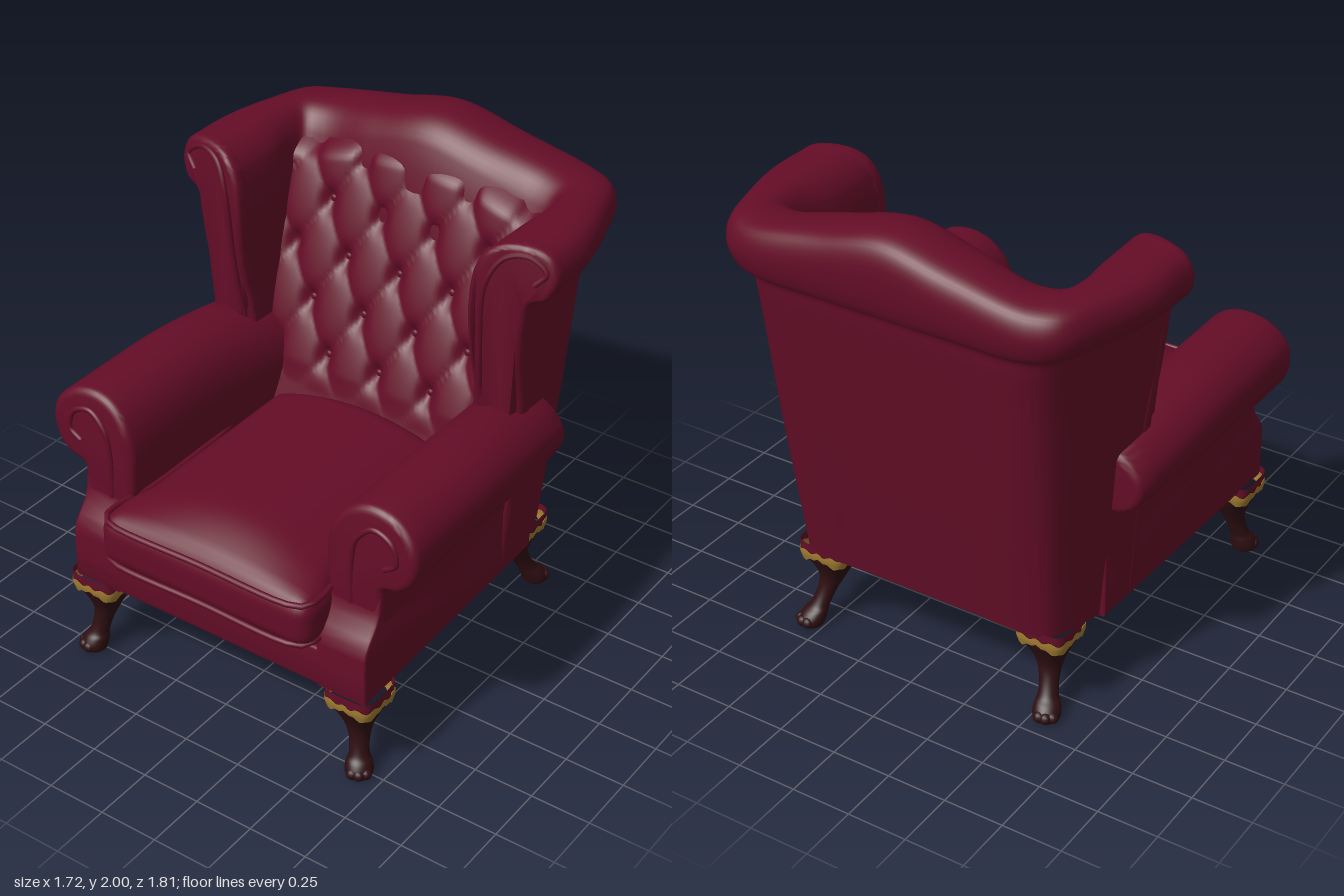
import * as THREE from 'three';
import { mergeVertices, toCreasedNormals } from 'three/addons/utils/BufferGeometryUtils.js';

const V = (x, y, z) => new THREE.Vector3(x, y, z);
const lerp = THREE.MathUtils.lerp, clamp = THREE.MathUtils.clamp;

// Smooth surface from a function of u and v (normal points along du x dv)
function grid(fn, nu, nv) {
  const pos = [], index = [];
  for (let i = 0; i <= nu; i++)
    for (let j = 0; j <= nv; j++) pos.push(...fn(i / nu, j / nv).toArray());
  for (let i = 0; i < nu; i++)
    for (let j = 0; j < nv; j++) {
      const a = i * (nv + 1) + j, b = a + nv + 1;
      index.push(a, b, a + 1, b, b + 1, a + 1);
    }
  const g = new THREE.BufferGeometry();
  g.setAttribute('position', new THREE.Float32BufferAttribute(pos, 3));
  g.setIndex(index);
  g.computeVertexNormals();
  return g;
}

// Move every vertex by a rule
function warp(g, rule) {
  const p = g.attributes.position, v = V(0, 0, 0);
  for (let i = 0; i < p.count; i++) {
    rule(v.fromBufferAttribute(p, i));
    p.setXYZ(i, v.x, v.y, v.z);
  }
  return g;
}

// Mirror across x = 0, restoring the corner order
function mirror(geo) {
  const g = geo.index ? geo.toNonIndexed() : geo.clone();
  g.scale(-1, 1, 1);
  for (const a of Object.values(g.attributes))
    for (let i = 0; i < a.count; i += 3)
      for (let c = 0; c < a.itemSize; c++) {
        const t = a.getComponent(i + 1, c);
        a.setComponent(i + 1, c, a.getComponent(i + 2, c));
        a.setComponent(i + 2, c, t);
      }
  return g;
}

// Densely divided box with rounded edges
function softBox(w, h, d, r) {
  const g = new THREE.BoxGeometry(w, h, d, 40, 14, 40);
  g.deleteAttribute('uv');
  g.deleteAttribute('normal');
  warp(g, v => {
    const c = V(clamp(v.x, r - w / 2, w / 2 - r), clamp(v.y, r - h / 2, h / 2 - r), clamp(v.z, r - d / 2, d / 2 - r));
    const o = v.clone().sub(c);
    if (o.length() > 0) v.copy(c).add(o.setLength(r));
  });
  return mergeVertices(g);
}

const tube = (pts, r, closed = false) =>
  new THREE.TubeGeometry(new THREE.CatmullRomCurve3(pts, closed), 70, r, 8, closed);
const shapeOf = pts => new THREE.Shape(pts.map(p => new THREE.Vector2(p[0], p[1])));

// Stations around the shell: foot, under the roll, roll edge, inner top, inner foot (x, z each), top height
const half = [
  [[0.67, -0.17], [0.75, -0.13], [0.86, -0.17], [0.55, -0.13], [0.50, -0.14], 1.885],
  [[0.65, -0.36], [0.73, -0.40], [0.855, -0.40], [0.56, -0.36], [0.50, -0.25], 1.885],
  [[0.60, -0.55], [0.68, -0.63], [0.80, -0.62], [0.58, -0.50], [0.50, -0.26], 1.885],
  [[0.56, -0.63], [0.62, -0.78], [0.72, -0.82], [0.57, -0.57], [0.49, -0.27], 1.885],
  [[0.48, -0.66], [0.53, -0.83], [0.60, -0.885], [0.47, -0.59], [0.42, -0.27], 1.89],
  [[0.26, -0.66], [0.28, -0.83], [0.28, -0.90], [0.26, -0.57], [0.24, -0.27], 1.945],
  [[0, -0.66], [0, -0.83], [0, -0.90], [0, -0.56], [0, -0.27], 2.0],
];
function profile([b, t, r, i, j, top]) {
  const at = (p, q, k, y) => V(lerp(p[0], q[0], k), y, lerp(p[1], q[1], k));
  return [
    at(b, t, 0, 0.37), at(b, t, 0.55, 1.0), at(t, r, 0, 1.58), at(t, r, 0.15, 1.66), at(t, r, 0.7, 1.69),
    at(t, r, 1, top - 0.11), at(r, i, 0.1, top - 0.03), at(r, i, 0.38, top), at(r, i, 0.75, top - 0.015),
    at(i, j, 0, top - 0.1), at(i, j, 0.5, 1.25), at(i, j, 1, 0.6),
  ];
}
// Front plane of the wings
const wingZ = (x, y) => -0.09 - 0.075 * ((Math.max(y, 1.2) - 1.62) / 0.42) ** 2 - Math.max(0, x - 0.6) * 0.25;

export function createModel() {
  const model = new THREE.Group();
  const fabric = new THREE.MeshStandardMaterial({ color: 0x640d27, side: THREE.DoubleSide });
  const gold = new THREE.MeshStandardMaterial({ color: 0xa27c32, side: THREE.DoubleSide });
  const wood = new THREE.MeshStandardMaterial({ color: 0x2e0e11 });
  fabric.name = 'burgundyLeather';
  gold.name = 'gold';
  wood.name = 'darkWood';
  const add = (name, g, m = fabric, parent = model) => {
    const mesh = new THREE.Mesh(g, m);
    mesh.name = name;
    parent.add(mesh);
    return mesh;
  };
  const addPair = (name, g) => {
    add(name + 'Left', g);
    add(name + 'Right', mirror(g));
  };

  // Back and wings: one shell swept round from wing to wing
  const rows = half.map(profile);
  rows[0].forEach(v => { v.z = wingZ(v.x, v.y) - 0.02; });
  const all = [...rows, ...rows.slice(0, -1).reverse().map(r => r.map(v => V(-v.x, v.y, v.z)))];
  const strands = rows[0].map((_, k) => new THREE.CatmullRomCurve3(all.map(r => r[k])));
  const NV = 55, NU = 72;
  add('backAndWingShell', grid((u, v) =>
    new THREE.CatmullRomCurve3(strands.map(s => s.getPoint(u))).getPoint(v), NU, NV));

  // Padded wing fronts with piping
  const outline = new THREE.CatmullRomCurve3(rows[0]).getPoints(70).map(p => [p.x, p.y]);
  const wing = new THREE.ExtrudeGeometry(shapeOf(outline), {
    depth: 0.03, bevelThickness: 0.02, bevelSize: 0.02, bevelOffset: -0.02, bevelSegments: 4 });
  warp(wing, v => { v.z += wingZ(v.x, v.y) - 0.04; });
  addPair('wingFront', toCreasedNormals(wing, 0.7));
  const wingPipe = [[0.56, 1.1], [0.575, 1.4], [0.60, 1.72], [0.66, 1.83], [0.75, 1.85], [0.82, 1.80], [0.78, 1.745]];
  addPair('wingPiping', tube(wingPipe.map(([x, y]) => V(x, y, wingZ(x, y) + 0.008)), 0.012));

  // Tufted inner back
  const topY = x => 1.86 - 0.09 * Math.min(1, (x / 0.5) ** 2);
  const backZ = y => lerp(-0.18, -0.545, (y - 0.8) / 1.04);
  const dx = 0.245, dy = 0.39, y0 = 1.78;
  add('tuftedBack', grid((u, v) => {
    const y = lerp(0.7, topY((u - 0.5) * 1.1), v), x = (u - 0.5) * lerp(1.04, 1.14, v);
    const p = x / dx + (y - y0) / dy, q = x / dx - (y - y0) / dy;
    const sp = Math.abs(Math.sin(Math.PI * p)), sq = Math.abs(Math.sin(Math.PI * q));
    const fold = 0.016 * Math.sqrt(sp * sq), pit = 0.045 * Math.exp(-(sp * sp + sq * sq) * 3.5);
    const fade = clamp((y - 0.86) / 0.1, 0, 1);
    return V(x, y, backZ(y) + (fold - pit) * fade - 0.06 * clamp((v - 0.94) / 0.06, 0, 1) ** 2);
  }, 84, 96));
  const button = new THREE.SphereGeometry(0.016, 10, 8).scale(1, 1, 0.6);
  for (let r = 0; r < 5; r++)
    for (let c = -2; c <= 2; c++) {
      const x = (c + (r % 2) / 2) * dx, y = y0 - r * dy / 2;
      if (Math.abs(x) < 0.46) add('button', button).position.set(x, y, backZ(y) - 0.04);
    }

  // Rolled arms
  const scroll = [[0.47, 0.68], [0.455, 0.85], [0.455, 0.98], [0.49, 1.09], [0.56, 1.16], [0.65, 1.185], [0.75, 1.165],
    [0.825, 1.1], [0.848, 1.01], [0.825, 0.92], [0.77, 0.865], [0.715, 0.85], [0.70, 0.82], [0.695, 0.68]];
  const scrollPts = new THREE.SplineCurve(scroll.map(p => new THREE.Vector2(...p))).getPoints(70).map(p => [p.x, p.y]);
  const arm = new THREE.ExtrudeGeometry(shapeOf(scrollPts), {
    depth: 1.05, steps: 14, bevelThickness: 0.03, bevelSize: 0.03, bevelOffset: -0.03, bevelSegments: 5 });
  warp(arm, v => {
    v.z -= 0.37;
    const k = (Math.max(0, 0.3 - v.z) / 0.7) ** 2;
    v.x -= 0.045 * k;
    v.y -= 0.07 * k * clamp((v.y - 0.8) / 0.3, 0, 1);
    v.z -= 0.025 * clamp((v.y - 1.05) / 0.13, 0, 1) * clamp(v.z, 0, 1);
  });
  addPair('arm', toCreasedNormals(arm, 0.7));
  const armPipe = [[0.565, 0.74], [0.565, 0.93], [0.59, 1.04], [0.66, 1.1], [0.74, 1.07], [0.76, 0.99], [0.71, 0.95]];
  addPair('armPiping', tube(armPipe.map(([x, y]) => V(x, y, 0.706 - Math.max(0, y - 1.05) * 0.12)), 0.012));

  // Arm posts that flare forward to the rail
  const post = new THREE.ExtrudeGeometry(shapeOf([[-0.4, 0.37], [0.79, 0.37], [0.795, 0.57], [0.785, 0.61], [0.76, 0.645],
    [0.725, 0.69], [0.705, 0.74], [0.695, 0.83], [-0.4, 0.83]]), {
    depth: 0.20, steps: 1, bevelThickness: 0.01, bevelSize: 0.01, bevelOffset: -0.005, bevelSegments: 3 });
  post.rotateY(-Math.PI / 2).translate(0.685, 0, 0);
  warp(post, v => { v.x -= 0.03 * clamp((0.7 - v.z) / 1.1, 0, 1); });
  addPair('armPost', toCreasedNormals(post, 0.6));

  // Seat frame, narrowing to the rear
  const plan = [[0.69, 0.795], [0.66, -0.2], [0.60, -0.55], [0.56, -0.63], [0.48, -0.658]];
  const frame = new THREE.ExtrudeGeometry(
    shapeOf([...plan, ...plan.slice().reverse().map(([x, z]) => [-x, z])].map(([x, z]) => [x, -z])),
    { depth: 0.15, bevelThickness: 0.012, bevelSize: 0.012, bevelOffset: -0.01, bevelSegments: 3 });
  frame.rotateX(-Math.PI / 2).translate(0, 0.379, 0);
  add('seatFrame', toCreasedNormals(frame, 0.6));
  add('seatDeck', new THREE.BoxGeometry(0.98, 0.08, 1.0).translate(0, 0.56, 0.22));

  // Domed seat cushion with piping
  const waist = z => lerp(0.93, 1, clamp((z - 0.62) / 0.12, 0, 1));
  const cushion = softBox(0.99, 0.22, 1.12, 0.07);
  warp(cushion, v => {
    v.y += 0.675;
    v.z += 0.33;
    const up = clamp((v.y - 0.68) / 0.1, 0, 1), front = clamp((0.89 - v.z) / 0.28, 0, 1);
    v.y += 0.105 * up * (1 - (v.x / 0.5) ** 2) * Math.sin(front * Math.PI / 2);
    v.x *= waist(v.z);
  });
  cushion.computeVertexNormals();
  add('seatCushion', cushion);
  const rim = [[-0.45, -0.18], [0.45, -0.18], [0.455, 0.2], [0.455, 0.6], [0.485, 0.75], [0.475, 0.85], [0.43, 0.882],
    [0, 0.886], [-0.43, 0.882], [-0.475, 0.85], [-0.485, 0.75], [-0.455, 0.6], [-0.455, 0.2]];
  for (const y of [0.592, 0.772])
    add('cushionPiping', tube(rim.map(([x, z]) => V(x, y, z)), 0.012, true));

  // Cabriole legs: height, half width, outward shift, squareness
  const rings = [[0, 0.03, 0.075, 2], [0.004, 0.05, 0.075, 2], [0.03, 0.056, 0.072, 2], [0.06, 0.05, 0.06, 2],
    [0.085, 0.04, 0.046, 2], [0.14, 0.04, 0.025, 2], [0.2, 0.052, 0.006, 2.3], [0.26, 0.076, 0, 3],
    [0.31, 0.097, 0, 4], [0.375, 0.1, 0, 5]];
  const ringCurve = i => new THREE.SplineCurve(rings.map(r => new THREE.Vector2(r[0], r[i])));
  const curves = [1, 2, 3].map(ringCurve);
  const edge = (a, r, n) => {
    const c = Math.cos(a), s = Math.sin(a), k = r / (Math.abs(c) ** n + Math.abs(s) ** n) ** (1 / n);
    return [c * k, s * k];
  };
  for (const [name, x, z, fx, fz] of [['front', 0.615, 0.715, 0.5, 0.75], ['rear', 0.51, -0.54, 0.65, -1.4]])
    for (const side of [1, -1]) {
      const leg = new THREE.Group();
      leg.name = name + (side > 0 ? 'LegLeft' : 'LegRight');
      leg.position.set(side * x, 0, z);
      model.add(leg);
      add('legPost', grid((u, v) => {
        const [r, o, n] = curves.map(c => c.getPoint(v).y), [ex, ez] = edge(-u * Math.PI * 2, r, n);
        return V(ex + side * fx * o, curves[0].getPoint(v).x, ez + fz * o);
      }, 32, 40), wood, leg);
      // Scalloped gold collar and the fabric trim above it
      const band = (lo, hi, r) => grid((u, v) => {
        const a = -u * Math.PI * 2;
        const y = lerp(lo(a), hi(a), v), [ex, ez] = edge(a, r - Math.max(0, 0.33 - y) * 0.25, 5);
        return V(ex, y, ez);
      }, 64, 5);
      const wave = a => 0.35 + 0.007 * Math.cos(a * 12);
      add('goldCollar', band(a => 0.308 + 0.012 * Math.cos(a * 4) + 0.005 * Math.cos(a * 16), wave, 0.11), gold, leg);
      add('collarTrim', band(wave, () => 0.385, 0.107), fabric, leg);
      // Claw toes
      for (const t of [-0.7, 0, 0.7]) {
        const a = Math.atan2(fz, side * fx) + t;
        add('toe', new THREE.SphereGeometry(0.024, 12, 8), wood, leg).position.set(
          side * fx * 0.075 + Math.cos(a) * 0.04, 0.024, fz * 0.075 + Math.sin(a) * 0.04);
      }
    }
  return model;
}
